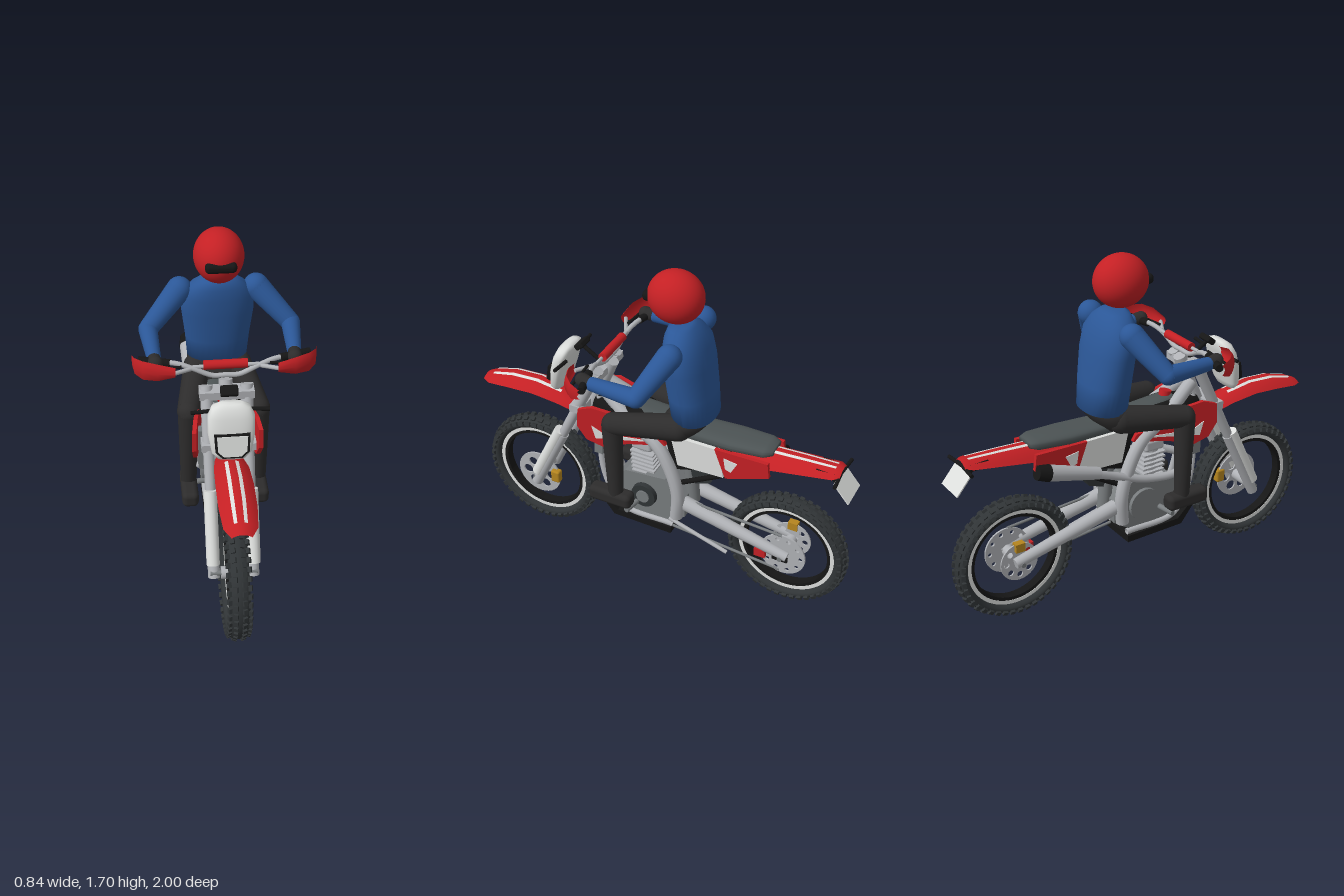
import * as THREE from 'three';
import { mergeGeometries } from 'three/addons/utils/BufferGeometryUtils.js';
import { RoundedBoxGeometry } from 'three/addons/geometries/RoundedBoxGeometry.js';

const V = (x, y, z) => new THREE.Vector3(x, y, z);
const paint = (name, color, side = THREE.DoubleSide) => {
  const m = new THREE.MeshStandardMaterial({ color, side });
  m.name = name;
  return m;
};

// Tapered round bar between two points
function rod(a, b, r1, r2 = r1, seg = 16) {
  const d = V(...b).sub(V(...a));
  const g = new THREE.CylinderGeometry(r2, r1, d.length(), seg);
  g.applyQuaternion(new THREE.Quaternion().setFromUnitVectors(V(0, 1, 0), d.clone().normalize()));
  return g.translate((a[0] + b[0]) / 2, (a[1] + b[1]) / 2, (a[2] + b[2]) / 2);
}
const ball = (p, r) => new THREE.SphereGeometry(r, 20, 14).translate(...p);
const limb = (a, b, r1, r2) => mergeGeometries([rod(a, b, r1, r2, 20), ball(a, r1), ball(b, r2)]);
const tube = (pts, r) =>
  new THREE.TubeGeometry(new THREE.CatmullRomCurve3(pts.map(p => V(...p))), pts.length * 8, r, 10);
const box = (w, h, d, x, y, z) => new THREE.BoxGeometry(w, h, d).translate(x, y, z);

// Outline in (z, y) given a thickness along x
function plate(shape, x, t) {
  if (Array.isArray(shape)) shape = new THREE.Shape(shape.map(p => new THREE.Vector2(...p)));
  const g = new THREE.ExtrudeGeometry(shape, { depth: t, bevelEnabled: false, curveSegments: 32 });
  return g.translate(0, 0, -t / 2).rotateY(-Math.PI / 2).translate(x, 0, 0);
}
// Ring or drilled disc facing x, centred on the origin
function disc(ro, ri, x, t, holes = 0, rc = 0, rh = 0) {
  const s = new THREE.Shape().absarc(0, 0, ro, 0, Math.PI * 2);
  if (ri) s.holes.push(new THREE.Path().absarc(0, 0, ri, 0, Math.PI * 2, true));
  for (let i = 0; i < holes; i++) {
    const a = i / holes * Math.PI * 2;
    s.holes.push(new THREE.Path().absarc(rc * Math.cos(a), rc * Math.sin(a), rh, 0, Math.PI * 2, true));
  }
  return plate(s, x, t);
}
// Surface through rows of points
function grid(rows) {
  const n = rows[0].length, idx = [];
  for (let i = 0; i < rows.length - 1; i++) for (let j = 0; j < n - 1; j++) {
    const a = i * n + j, b = a + n;
    idx.push(a, b, a + 1, b, b + 1, a + 1);
  }
  const g = new THREE.BufferGeometry();
  g.setAttribute('position', new THREE.Float32BufferAttribute(rows.flat(2), 3));
  g.setIndex(idx);
  g.computeVertexNormals();
  return g;
}
// Closed body of superellipse sections [t, centre, rx, r] along y or z
function body(rows, axis, p = 1) {
  const ends = [rows[0], rows[rows.length - 1]].map(r => [r[0], r[1], 0.0001, 0.0001]);
  const pw = v => Math.sign(v) * Math.abs(v) ** p;
  return grid([ends[0], ...rows, ends[1]].map(([t, c, rx, r]) => Array.from({ length: 33 }, (_, i) => {
    const a = (axis === 'y' ? 1 : -1) * i / 16 * Math.PI;
    const u = rx * pw(Math.cos(a)), v = c + r * pw(Math.sin(a));
    return axis === 'y' ? [u, t, v] : [u, v, t];
  })));
}
// Arched sheet from rows [z, y, half width, drop at the edge]
const arch = (rows, u0 = -1, u1 = 1, dy = 0) => grid(rows.map(([z, y, w, d]) =>
  Array.from({ length: 13 }, (_, i) => {
    const u = u0 + (u1 - u0) * i / 12;
    return [u * w, y + dy - d * u * u, z];
  })));

export function createModel() {
  const root = new THREE.Group(), bike = new THREE.Group(), rider = new THREE.Group();
  bike.name = 'motorcycle'; rider.name = 'rider';
  root.add(bike, rider);
  const red = paint('red', 0xc42024), blue = paint('jacket blue', 0x2b5797), cloth = paint('trouser black', 0x2d2c2c),
    black = paint('black', 0x161616), rubber = paint('rubber', 0x303436), seatGrey = paint('seat grey', 0x4c5354),
    metal = paint('light metal', 0xb0b2b6), engineGrey = paint('engine grey', 0x777b7d),
    white = paint('white', 0xdcdedc), gold = paint('gold', 0xb5851f);
  const add = (name, geo, mat, to = bike) => {
    const m = new THREE.Mesh(geo, mat);
    m.name = name;
    to.add(m);
    return m;
  };

  // Wheels with knobbly tyres
  function wheel(name, y, z, k) {
    const w = new THREE.Group();
    w.name = name; w.position.set(0, y, z); w.scale.set(1, k, k);
    bike.add(w);
    const prof = Array.from({ length: 21 }, (_, i) => {
      const a = -Math.PI + i / 10 * Math.PI;
      return new THREE.Vector2(0.279 + 0.028 * Math.cos(a), 0.047 * Math.sin(a));
    });
    add('tyre', new THREE.LatheGeometry(prof, 64).rotateZ(Math.PI / 2), rubber, w);
    const knobs = [];
    for (let i = 0; i < 44; i++) for (const [f, off] of [[-1.2, 0], [-0.4, 0.5], [0.4, 0], [1.2, 0.5]]) {
      knobs.push(new THREE.BoxGeometry(0.02, 0.02, 0.024).rotateZ(-f)
        .translate(0.049 * Math.sin(f), 0.279 + 0.028 * Math.cos(f), 0).rotateX((i + off) / 22 * Math.PI));
    }
    add('treadKnobs', mergeGeometries(knobs), rubber, w);
    add('rimEdge', disc(0.256, 0.236, 0, 0.05), white, w);
    add('rim', disc(0.236, 0.219, 0, 0.046), black, w);
    add('hub', rod([-0.06, 0, 0], [0.06, 0, 0], 0.03), metal, w);
    add('axle', rod([-0.11, 0, 0], [0.11, 0, 0], 0.012), engineGrey, w);
    return w;
  }
  const front = wheel('frontWheel', 0.32, 0.68, 1), rear = wheel('rearWheel', 0.315, -0.69, 0.98);
  add('frontBrakeDisc', disc(0.122, 0.02, 0.058, 0.008, 6, 0.068, 0.026), metal, front);
  add('frontCaliper', new RoundedBoxGeometry(0.04, 0.07, 0.05, 2, 0.01).translate(0.066, 0.02, -0.105), gold, front);
  add('sprocket', disc(0.12, 0.02, 0.062, 0.01, 10, 0.095, 0.011), metal, rear);
  add('rearBrakeDisc', disc(0.1, 0.02, -0.062, 0.008, 8, 0.07, 0.015), metal, rear);
  add('rearCaliper', box(0.035, 0.045, 0.05, -0.068, 0.085, 0), gold, rear);
  add('chainGuide', box(0.03, 0.045, 0.06, 0.07, -0.025, 0.115), red, rear);
  add('axleBlock', box(0.012, 0.025, 0.08, 0.098, 0, 0), black, rear);

  // Parts mirrored left and right
  for (const s of [1, -1]) {
    add('forkLower', rod([s * 0.092, 0.29, 0.675], [s * 0.092, 0.66, 0.5], 0.028), metal);
    add('forkUpper', rod([s * 0.092, 0.62, 0.52], [s * 0.092, 1.11, 0.29], 0.024, 0.029), metal);
    add('forkGuard', rod([s * 0.095, 0.36, 0.665], [s * 0.095, 0.68, 0.515], 0.031), white);
    add('swingarm', rod([s * 0.07, 0.45, -0.14], [s * 0.08, 0.32, -0.72], 0.038, 0.026), metal);
    add('frameSpar', tube([[s * 0.03, 0.98, 0.31], [s * 0.08, 0.86, 0.12], [s * 0.095, 0.78, -0.02],
      [s * 0.1, 0.65, -0.1], [s * 0.1, 0.5, -0.14], [s * 0.09, 0.36, -0.13]], 0.033), metal);
    add('cradleTube', tube([[s * 0.03, 0.92, 0.32], [s * 0.06, 0.66, 0.31], [s * 0.075, 0.45, 0.27],
      [s * 0.08, 0.31, 0.18], [s * 0.08, 0.29, -0.1]], 0.016), metal);
    add('subframe', rod([s * 0.07, 0.56, -0.13], [s * 0.08, 0.79, -0.52], 0.013), black);
    add('radiator', box(0.07, 0.22, 0.045, s * 0.095, 0.75, 0.28), engineGrey);

    // Bodywork
    const flare = g => g.applyMatrix4(new THREE.Matrix4().set(1, 0, s * 0.16, 0, 0, 1, 0, 0, 0, 0, 1, 0, 0, 0, 0, 1));
    add('radiatorShroud', flare(plate([[0.37, 0.9], [0.3, 0.925], [0.2, 0.91], [0.14, 0.84], [-0.05, 0.82],
      [-0.07, 0.785], [0.12, 0.75], [0.24, 0.7], [0.33, 0.73], [0.375, 0.8]], s * 0.095, 0.02)), red);
    add('shroudStripe', flare(plate([[0.3, 0.82], [0.28, 0.75], [0.12, 0.775], [-0.04, 0.8], [0.24, 0.785]],
      s * 0.107, 0.005)), white);
    add('sidePanel', plate([[-0.1, 0.865], [-0.35, 0.865], [-0.38, 0.71], [-0.14, 0.7]], s * 0.095, 0.02), white);
    add('rearPanel', plate([[-0.33, 0.865], [-0.6, 0.87], [-0.61, 0.79], [-0.39, 0.71]], s * 0.096, 0.02), red);
    add('rearPanelPatch', plate([[-0.38, 0.83], [-0.45, 0.82], [-0.42, 0.76], [-0.39, 0.77]], s * 0.108, 0.005), white);

    // Controls
    add('handlebar', tube([[0, 1.15, 0.27], [s * 0.06, 1.15, 0.27], [s * 0.15, 1.19, 0.265],
      [s * 0.22, 1.21, 0.25], [s * 0.38, 1.21, 0.21]], 0.012), metal);
    add('grip', rod([s * 0.25, 1.21, 0.245], [s * 0.39, 1.21, 0.208], 0.019), black);
    add('lever', rod([s * 0.2, 1.21, 0.28], [s * 0.36, 1.2, 0.275], 0.007), black);
    const guard = [[0.42, 0.2, 0.025], [0.41, 0.25, 0.043], [0.375, 0.29, 0.05], [0.31, 0.315, 0.045], [0.23, 0.322, 0.025]];
    add('handguard', grid(guard.map(([x, z, h]) => [-1, -0.6, 0, 0.6, 1].map(v =>
      [s * x, 1.21 + v * h, z + 0.015 * (1 - v * v)]))), red);
    add('guardMount', rod([s * 0.16, 1.19, 0.27], [s * 0.25, 1.2, 0.32], 0.01), metal);
    add('frontIndicator', rod([s * 0.08, 1.1, 0.47], [s * 0.175, 1.1, 0.48], 0.009), black);
    add('rearIndicator', rod([0, 0.865, -0.92], [s * 0.115, 0.865, -0.93], 0.009), black);
    add('footPeg', rod([s * 0.08, 0.385, 0.08], [s * 0.19, 0.385, 0.1], 0.014), engineGrey);
  }

  // Steering head, bar pad, instrument and headlight
  add('steeringHead', rod([0, 0.83, 0.38], [0, 1.12, 0.26], 0.032), metal);
  for (const [y, z] of [[0.86, 0.405], [1.08, 0.305]]) add('forkClamp', box(0.25, 0.04, 0.07, 0, y, z), metal);
  add('crossbar', rod([-0.15, 1.195, 0.262], [0.15, 1.195, 0.262], 0.009), metal);
  add('barPad', rod([-0.1, 1.2, 0.258], [0.1, 1.2, 0.258], 0.022), red);
  add('instrument', new RoundedBoxGeometry(0.08, 0.03, 0.05, 2, 0.008).rotateX(0.7).translate(0, 1.17, 0.425), black);
  add('instrumentStay', rod([0, 1.09, 0.31], [0, 1.16, 0.42], 0.01), black);
  add('headlightMask', body([[0.9, 0.55, 0.065, 0.022], [0.93, 0.547, 0.09, 0.03], [1.02, 0.53, 0.105, 0.04],
    [1.1, 0.51, 0.105, 0.04], [1.14, 0.497, 0.085, 0.035], [1.155, 0.492, 0.05, 0.02]], 'y', 0.7), white);
  const lens = (k, d) => {
    const sh = new THREE.Shape([[-0.08, 0.055], [-0.075, -0.03], [-0.045, -0.06], [0.045, -0.06], [0.075, -0.03], [0.08, 0.055]]
      .map(([x, y]) => new THREE.Vector2(x * k, y * k)));
    return new THREE.ExtrudeGeometry(sh, { depth: d, bevelEnabled: false }).rotateX(-0.19).translate(0, 0.98, 0.557);
  };
  add('headlightSurround', lens(1, 0.03), black);
  add('headlightLens', lens(0.86, 0.034), white);

  // Front and rear mudguards with pale stripes
  const ff = [[0.99, 0.825, 0.045, 0.015], [0.94, 0.848, 0.075, 0.03], [0.82, 0.88, 0.085, 0.045], [0.68, 0.888, 0.085, 0.045],
    [0.54, 0.865, 0.08, 0.04], [0.43, 0.82, 0.065, 0.03], [0.36, 0.77, 0.05, 0.02]];
  const rf = [[-0.93, 0.893, 0.05, 0.02], [-0.9, 0.9, 0.075, 0.03], [-0.75, 0.895, 0.085, 0.045],
    [-0.6, 0.888, 0.092, 0.06], [-0.4, 0.865, 0.092, 0.06]];
  add('frontMudguard', arch(ff), red);
  add('rearMudguard', arch(rf), red);
  for (const s of [1, -1]) {
    add('frontMudguardStripe', arch(ff.slice(1, 5), s * 0.2, s * 0.4, 0.004), white);
    add('rearMudguardStripe', arch(rf.slice(1, 4), s * 0.15, s * 0.32, 0.004), white);
  }

  // Tail light and number plate
  add('tailLight', box(0.1, 0.035, 0.09, 0, 0.868, -0.86), black);
  add('plateHolder', new THREE.BoxGeometry(0.08, 0.14, 0.012).rotateX(0.75).translate(0, 0.825, -0.915), black);
  add('numberPlate', new THREE.BoxGeometry(0.155, 0.12, 0.006).rotateX(0.7).translate(0, 0.805, -0.952), white);

  // Tank, seat and airbox
  add('tank', body([[-0.05, 0.83, 0.07, 0.06], [0.08, 0.845, 0.095, 0.085], [0.22, 0.85, 0.1, 0.085],
    [0.34, 0.85, 0.07, 0.06]], 'z', 0.75), black);
  add('fuelCap', rod([0, 0.92, 0.17], [0, 0.96, 0.18], 0.03), red);
  add('seat', body([[-0.6, 0.893, 0.055, 0.018], [-0.56, 0.89, 0.075, 0.03], [-0.4, 0.882, 0.088, 0.032],
    [-0.15, 0.87, 0.08, 0.036], [0.05, 0.885, 0.065, 0.045], [0.2, 0.915, 0.05, 0.03]], 'z', 0.7), seatGrey);
  add('airbox', plate([[-0.06, 0.82], [-0.5, 0.84], [-0.3, 0.7], [-0.1, 0.64]], 0, 0.15), black);
  add('shock', rod([0, 0.42, -0.18], [0, 0.74, -0.15], 0.035), engineGrey);
  add('rearFlap', plate([[-0.16, 0.66], [-0.36, 0.74], [-0.28, 0.58], [-0.2, 0.55]], 0, 0.06), rubber);

  // Engine
  add('crankcase', plate([[0.23, 0.46], [0.16, 0.54], [-0.06, 0.56], [-0.17, 0.48], [-0.17, 0.36], [-0.08, 0.3],
    [0.15, 0.3], [0.23, 0.36]], 0, 0.16), engineGrey);
  add('clutchCover', rod([-0.1, 0.42, 0.0], [0.0, 0.42, 0.0], 0.085, 0.085, 24), engineGrey);
  add('flywheelCover', rod([0, 0.43, 0.05], [0.105, 0.43, 0.05], 0.075, 0.065, 24), rubber);
  add('flywheelCap', rod([0.1, 0.43, 0.05], [0.112, 0.43, 0.05], 0.035), engineGrey);
  add('cylinderBarrel', rod([0, 0.5, 0.06], [0, 0.7, 0.08], 0.055), metal);
  for (let i = 0; i < 6; i++) add('coolingFin', box(0.14, 0.01, 0.125, 0, 0.545 + i * 0.024, 0.065 + i * 0.002), metal);
  add('cylinderHead', new RoundedBoxGeometry(0.13, 0.06, 0.11, 2, 0.015).translate(0, 0.71, 0.08), metal);
  add('skidPlate', plate([[0.3, 0.34], [0.27, 0.34], [0.2, 0.275], [-0.1, 0.27], [-0.1, 0.235], [0.22, 0.24]], 0, 0.19), black);
  const chain = [[0.47, 0.42], [0.3, 0.2]];
  for (const [y0, y1] of chain) add('chain', rod([0.07, y0 - (y0 < 0.4 ? 0.03 : 0), -0.1], [0.065, y1 + 0.01, -0.68], 0.007), engineGrey);
  add('sideStand', rod([0.11, 0.35, -0.1], [0.12, 0.26, -0.42], 0.01), metal);

  // Exhaust on the right
  add('headerPipe', tube([[-0.02, 0.67, 0.13], [-0.06, 0.62, 0.23], [-0.12, 0.57, 0.18], [-0.125, 0.58, 0],
    [-0.11, 0.64, -0.18], [-0.12, 0.69, -0.3]], 0.02), metal);
  add('silencer', rod([-0.12, 0.69, -0.28], [-0.12, 0.775, -0.56], 0.03, 0.04), metal);
  add('silencerTip', rod([-0.12, 0.772, -0.55], [-0.12, 0.79, -0.61], 0.042, 0.034), black);

  // Rider's head and torso
  add('helmet', new THREE.SphereGeometry(1, 40, 28).scale(0.117, 0.127, 0.135).translate(0, 1.573, -0.075), red, rider);
  add('visor', new RoundedBoxGeometry(0.145, 0.05, 0.05, 4, 0.022).translate(0, 1.573, 0.042), black, rider);
  add('jacket', body([[0.97, -0.185, 0.145, 0.105], [1.1, -0.17, 0.155, 0.108], [1.25, -0.15, 0.172, 0.105],
    [1.34, -0.135, 0.168, 0.098], [1.4, -0.12, 0.13, 0.08], [1.435, -0.11, 0.085, 0.06], [1.445, -0.11, 0.05, 0.04]], 'y', 0.9), blue, rider);
  add('hips', body([[0.87, -0.12, 0.12, 0.09], [0.92, -0.14, 0.155, 0.11], [0.99, -0.18, 0.142, 0.1]], 'y', 0.9), cloth, rider);

  // Rider's arms and legs
  for (const s of [1, -1]) {
    add('upperArm', limb([s * 0.18, 1.37, -0.13], [s * 0.335, 1.215, -0.04], 0.06, 0.045), blue, rider);
    add('forearm', limb([s * 0.335, 1.215, -0.04], [s * 0.32, 1.21, 0.19], 0.045, 0.033), blue, rider);
    add('glove', limb([s * 0.32, 1.21, 0.2], [s * 0.315, 1.215, 0.245], 0.03, 0.033), cloth, rider);
    add('thigh', limb([s * 0.1, 0.925, -0.14], [s * 0.165, 0.885, 0.175], 0.067, 0.055), cloth, rider);
    add('shin', limb([s * 0.165, 0.88, 0.18], [s * 0.17, 0.46, 0.165], 0.052, 0.038), cloth, rider);
    add('boot', new RoundedBoxGeometry(0.08, 0.08, 0.23, 3, 0.025).translate(s * 0.17, 0.438, 0.19), cloth, rider);
  }
  return root;
}
